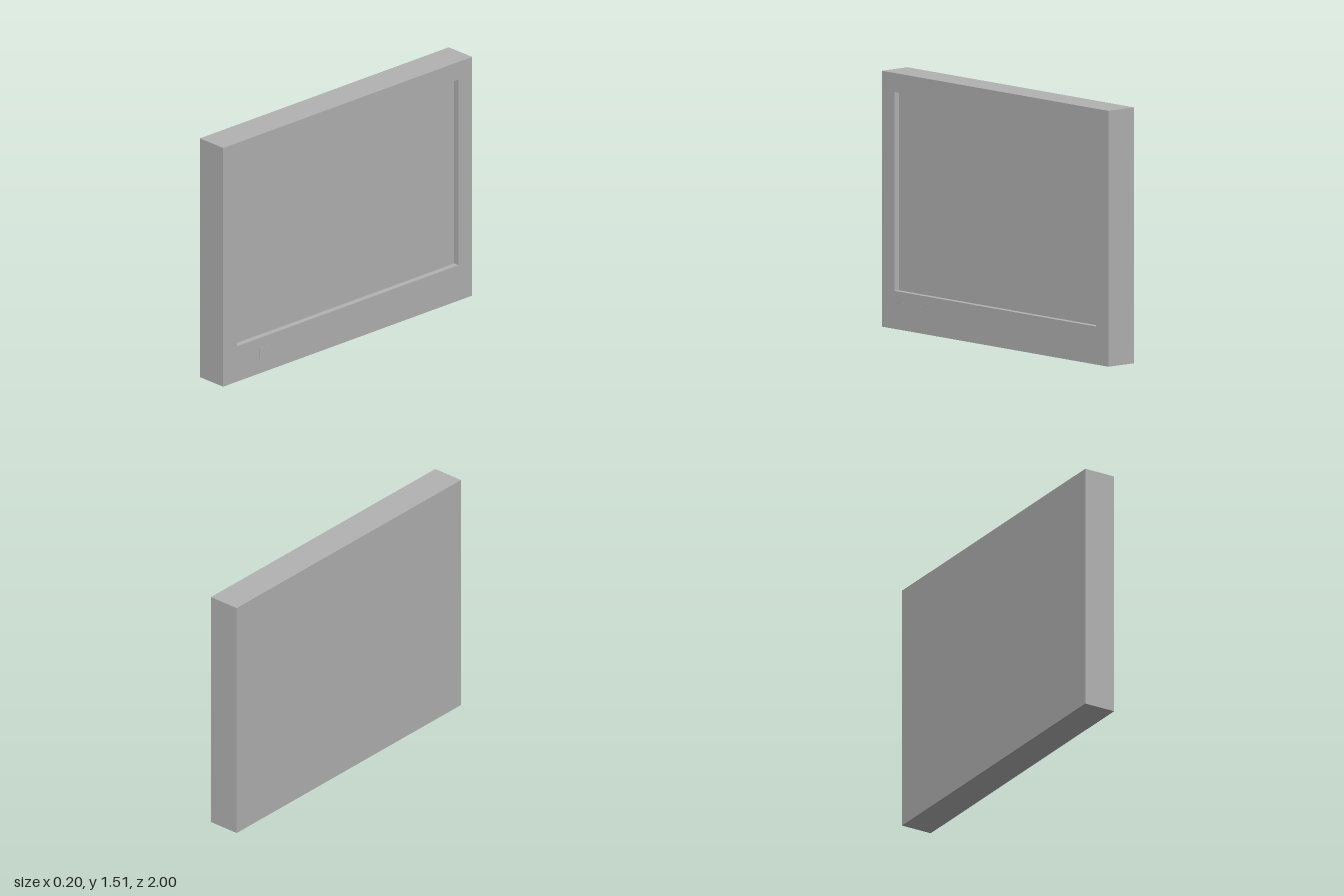
import * as THREE from 'three';

const HEIGHT = 1.515, LENGTH = 2;
const BACK = -0.112, FACE = 0.087, RECESS = 0.036;

export function createModel() {
  const model = new THREE.Group();
  const grey = new THREE.MeshStandardMaterial({ color: 0xb2b2b2 });
  grey.name = 'casing grey';

  const add = (name, geometry, x, y, z) => {
    const mesh = new THREE.Mesh(geometry, grey);
    mesh.name = name;
    mesh.position.set(x, y, z);
    model.add(mesh);
    return mesh;
  };

  // Rear casing; its +x face is the recessed screen
  const depth = FACE - RECESS - BACK;
  add('casingAndScreen', new THREE.BoxGeometry(depth, HEIGHT, LENGTH), BACK + depth / 2, HEIGHT / 2, 0);

  // Bezel: a rectangular frame round the screen, turned to face +x
  const rectangle = (path, x0, y0, x1, y1) => {
    path.moveTo(x0, y0).lineTo(x1, y0).lineTo(x1, y1).lineTo(x0, y1).closePath();
    return path;
  };
  const frame = rectangle(new THREE.Shape(), -LENGTH / 2, 0, LENGTH / 2, HEIGHT);
  frame.holes.push(rectangle(new THREE.Path(), -0.89, 0.225, 0.89, 1.403));
  const bezel = new THREE.ExtrudeGeometry(frame, { depth: RECESS, bevelEnabled: false });
  bezel.rotateY(Math.PI / 2);
  add('bezel', bezel, FACE - RECESS, 0, 0);

  // Two nearly flush buttons below the screen
  for (const z of [0.8, 0.667]) {
    add('button', new THREE.BoxGeometry(0.004, 0.066, 0.088), FACE - 0.001, 0.125, z);
  }

  return model;
}
